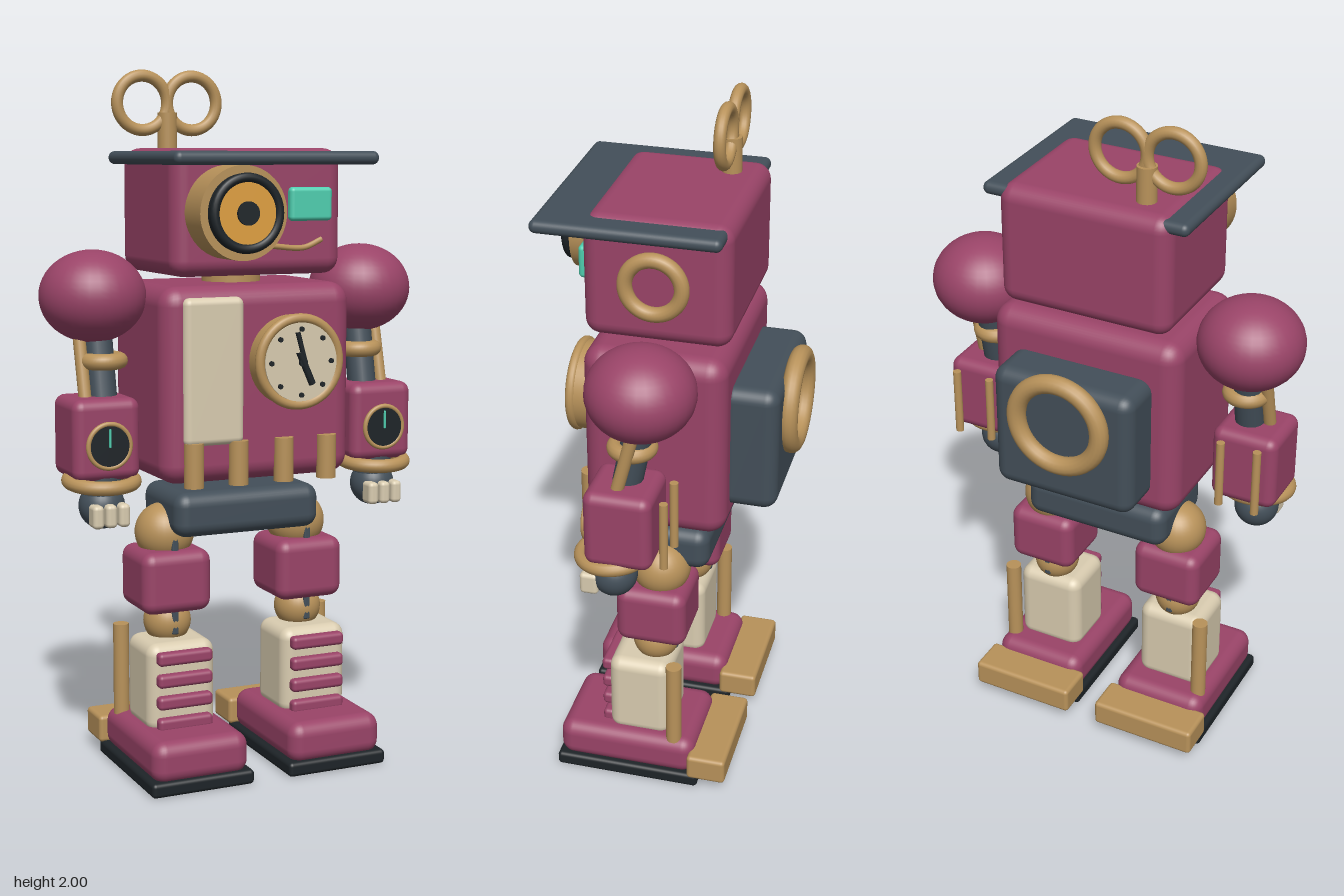
import * as THREE from 'three';
import { RoundedBoxGeometry } from 'three/addons/geometries/RoundedBoxGeometry.js';

const mat = (color) => new THREE.MeshStandardMaterial({ color });
const M = {
  plum: mat(0x9a4468), slate: mat(0x434f59), brass: mat(0xb8925a), cream: mat(0xd9ccb0),
  black: mat(0x1e2428), teal: mat(0x4fcfb0), amber: mat(0xe0a040),
};

function add(parent, name, geometry, material, x, y, z) {
  const mesh = new THREE.Mesh(geometry, material);
  mesh.name = name;
  mesh.position.set(x, y, z);
  parent.add(mesh);
  return mesh;
}

// Rounded box given by its extents on each axis
function box(parent, name, material, [x0, x1], [y0, y1], [z0, z1], r = 0.03) {
  const w = x1 - x0, h = y1 - y0, d = z1 - z0;
  const geo = new RoundedBoxGeometry(w, h, d, 4, Math.min(r, w * 0.49, h * 0.49, d * 0.49));
  return add(parent, name, geo, material, (x0 + x1) / 2, (y0 + y1) / 2, (z0 + z1) / 2);
}

// Upright cylinder from y0 to y1
function post(parent, name, material, r, x, y0, y1, z) {
  return add(parent, name, new THREE.CylinderGeometry(r, r, y1 - y0, 24), material, x, (y0 + y1) / 2, z);
}

// Disc or drum facing the front, from z0 to z1
function drum(parent, name, material, r, x, y, z0, z1) {
  const geo = new THREE.CylinderGeometry(r, r, z1 - z0, 48).rotateX(Math.PI / 2);
  return add(parent, name, geo, material, x, y, (z0 + z1) / 2);
}

function ring(parent, name, material, R, tube, x, y, z) {
  return add(parent, name, new THREE.TorusGeometry(R, tube, 14, 48), material, x, y, z);
}

function ball(parent, name, material, r, x, y, z) {
  return add(parent, name, new THREE.SphereGeometry(r, 32, 24), material, x, y, z);
}

// Straight rod between two points
function rod(parent, name, material, r, a, b) {
  const path = new THREE.LineCurve3(new THREE.Vector3(...a), new THREE.Vector3(...b));
  return add(parent, name, new THREE.TubeGeometry(path, 1, r, 16), material, 0, 0, 0);
}

function group(parent, name) {
  const g = new THREE.Group();
  g.name = name;
  parent.add(g);
  return g;
}

function buildHead(root) {
  const g = group(root, 'head');
  box(g, 'headShell', M.plum, [-0.26, 0.255], [1.43, 1.78], [-0.19, 0.22], 0.045);
  box(g, 'capBrim', M.slate, [-0.305, 0.305], [1.735, 1.772], [-0.175, 0.345], 0.018);
  post(g, 'neck', M.brass, 0.085, 0, 1.38, 1.45, 0.015);

  // Large lens eye
  drum(g, 'eyeHousing', M.brass, 0.128, -0.1, 1.607, 0.2, 0.325);
  drum(g, 'eyeBarrel', M.black, 0.106, -0.1, 1.607, 0.32, 0.346);
  ring(g, 'eyeRim', M.black, 0.095, 0.013, -0.1, 1.607, 0.345);
  drum(g, 'eyeLens', M.amber, 0.083, -0.1, 1.607, 0.34, 0.35);
  drum(g, 'pupil', M.black, 0.032, -0.1, 1.607, 0.345, 0.357);

  // Small square eye, mouth and ear
  box(g, 'squareEye', M.teal, [0.082, 0.212], [1.58, 1.673], [0.2, 0.24], 0.012);
  const mouth = new THREE.CatmullRomCurve3([[0.03, 1.512], [0.13, 1.506], [0.185, 1.528]]
    .map(([x, y]) => new THREE.Vector3(x, y, 0.222)));
  add(g, 'mouth', new THREE.TubeGeometry(mouth, 20, 0.008, 8), M.brass, 0, 0, 0);
  ring(g, 'earRing', M.brass, 0.078, 0.021, 0.273, 1.607, 0.015).rotation.y = Math.PI / 2;

  // Wind-up key
  const key = group(g, 'windUpKey');
  post(key, 'keySocket', M.brass, 0.028, -0.15, 1.76, 1.88, -0.095);
  post(key, 'keyStem', M.brass, 0.016, -0.15, 1.86, 1.92, -0.095);
  for (const s of [-1, 1]) ring(key, 'keyLoop', M.brass, 0.076, 0.017, -0.15 + s * 0.076, 1.907, -0.095);
}

function buildTorso(root) {
  const g = group(root, 'torso');
  box(g, 'chest', M.plum, [-0.29, 0.29], [0.855, 1.405], [-0.185, 0.22], 0.055);
  box(g, 'chestPanel', M.cream, [-0.235, -0.055], [0.965, 1.375], [0.19, 0.238], 0.02);
  box(g, 'pelvis', M.slate, [-0.225, 0.225], [0.688, 0.817], [-0.125, 0.155], 0.04);
  for (const x of [-0.205, -0.07, 0.07, 0.205]) post(g, 'ventPipe', M.brass, 0.028, x, 0.85, 0.975, 0.223);

  // Chest dial
  const dial = group(g, 'dial');
  dial.position.set(0.092, 1.193, 0);
  drum(dial, 'dialCase', M.brass, 0.128, 0, 0, 0.2, 0.28);
  ring(dial, 'dialRim', M.brass, 0.121, 0.014, 0, 0, 0.276);
  drum(dial, 'dialFace', M.cream, 0.11, 0, 0, 0.27, 0.288);
  for (let i = 0; i < 8; i++) {
    const a = i * Math.PI / 4;
    drum(dial, 'hourDot', M.black, 0.007, 0.092 * Math.sin(a), 0.092 * Math.cos(a), 0.28, 0.294);
  }
  rod(dial, 'longHand', M.black, 0.007, [0.012, -0.005, 0.291], [-0.013, 0.085, 0.291]);
  rod(dial, 'shortHand', M.black, 0.01, [-0.008, 0.03, 0.291], [0.033, -0.062, 0.291]);
  drum(dial, 'handHub', M.black, 0.012, 0.004, 0, 0.28, 0.298);

  // Backpack
  box(g, 'backpack', M.slate, [-0.215, 0.215], [0.92, 1.295], [-0.316, -0.15], 0.04);
  ring(g, 'backpackRing', M.brass, 0.128, 0.027, 0, 1.175, -0.328);
}

// Limbs are built on the +x side; s mirrors them
function buildArm(root, s) {
  const g = group(root, s > 0 ? 'leftArm' : 'rightArm');
  ball(g, 'shoulder', M.plum, 0.15, s * 0.42, 1.373, 0.01).scale.y = 0.86;
  rod(g, 'upperArm', M.slate, 0.042, [s * 0.41, 1.3, 0.01], [s * 0.41, 1.08, 0.055]);
  rod(g, 'pistonRod', M.brass, 0.018, [s * 0.465, 1.29, 0.015], [s * 0.465, 1.08, 0.07]);
  ring(g, 'elbowClamp', M.brass, 0.047, 0.023, s * 0.402, 1.195, 0.04).rotation.x = Math.PI / 2;
  box(g, 'forearm', M.plum, [s * 0.428 - 0.098, s * 0.428 + 0.098], [0.872, 1.1], [-0.04, 0.152], 0.03);
  for (const d of [-0.055, 0.055]) post(g, 'forearmRod', M.brass, 0.012, s * 0.428 + d, 0.875, 1.08, -0.067);

  // Forearm gauge
  drum(g, 'gaugeFace', M.black, 0.062, s * 0.428, 0.972, 0.14, 0.163);
  ring(g, 'gaugeRim', M.brass, 0.061, 0.007, s * 0.428, 0.972, 0.158);
  box(g, 'gaugeNeedle', M.teal, [s * 0.428 - 0.003, s * 0.428 + 0.003], [0.968, 1.02], [0.16, 0.167], 0.002);

  // Wrist and hand
  ring(g, 'wristRing', M.brass, 0.092, 0.02, s * 0.428, 0.866, 0.09).rotation.x = Math.PI / 2 + 0.08;
  post(g, 'wrist', M.slate, 0.055, s * 0.428, 0.8, 0.88, 0.09);
  ball(g, 'palm', M.slate, 0.065, s * 0.428, 0.795, 0.09);
  for (let i = -1; i <= 1; i++) {
    const x = s * 0.428 + i * 0.038;
    box(g, 'finger', M.cream, [x - 0.016, x + 0.016], [0.745, 0.81], [0.125, 0.178], 0.012);
  }
}

function buildLeg(root, s) {
  const g = group(root, s > 0 ? 'leftLeg' : 'rightLeg');
  const c = s * 0.21;
  const span = (w) => [c - w / 2, c + w / 2];
  ball(g, 'hipJoint', M.brass, 0.086, c, 0.687, 0.015);
  box(g, 'hingePlate', M.slate, span(0.02), [0.4, 0.7], [-0.035, 0.1], 0.005);
  box(g, 'thigh', M.plum, span(0.21), [0.467, 0.647], [-0.078, 0.13], 0.035);
  ball(g, 'kneeJoint', M.brass, 0.069, c, 0.43, 0.032);
  box(g, 'shin', M.cream, span(0.207), [0.13, 0.39], [-0.032, 0.155], 0.035);
  for (let i = 0; i < 4; i++) {
    const y = 0.16 + i * 0.064;
    box(g, 'shinBar', M.plum, span(0.166), [y - 0.019, y + 0.019], [0.145, 0.18], 0.012);
  }
  post(g, 'calfRod', M.brass, 0.023, s * 0.322, 0.14, 0.41, -0.05);
  box(g, 'foot', M.plum, span(0.29), [0.03, 0.15], [-0.115, 0.302], 0.04);
  box(g, 'sole', M.black, span(0.31), [0, 0.042], [-0.13, 0.307], 0.012);
  box(g, 'heel', M.brass, span(0.325), [0.037, 0.117], [-0.217, -0.1], 0.012);
}

export function createModel() {
  const root = new THREE.Group();
  root.name = 'toyRobot';
  buildHead(root);
  buildTorso(root);
  for (const s of [-1, 1]) {
    buildArm(root, s);
    buildLeg(root, s);
  }
  return root;
}
